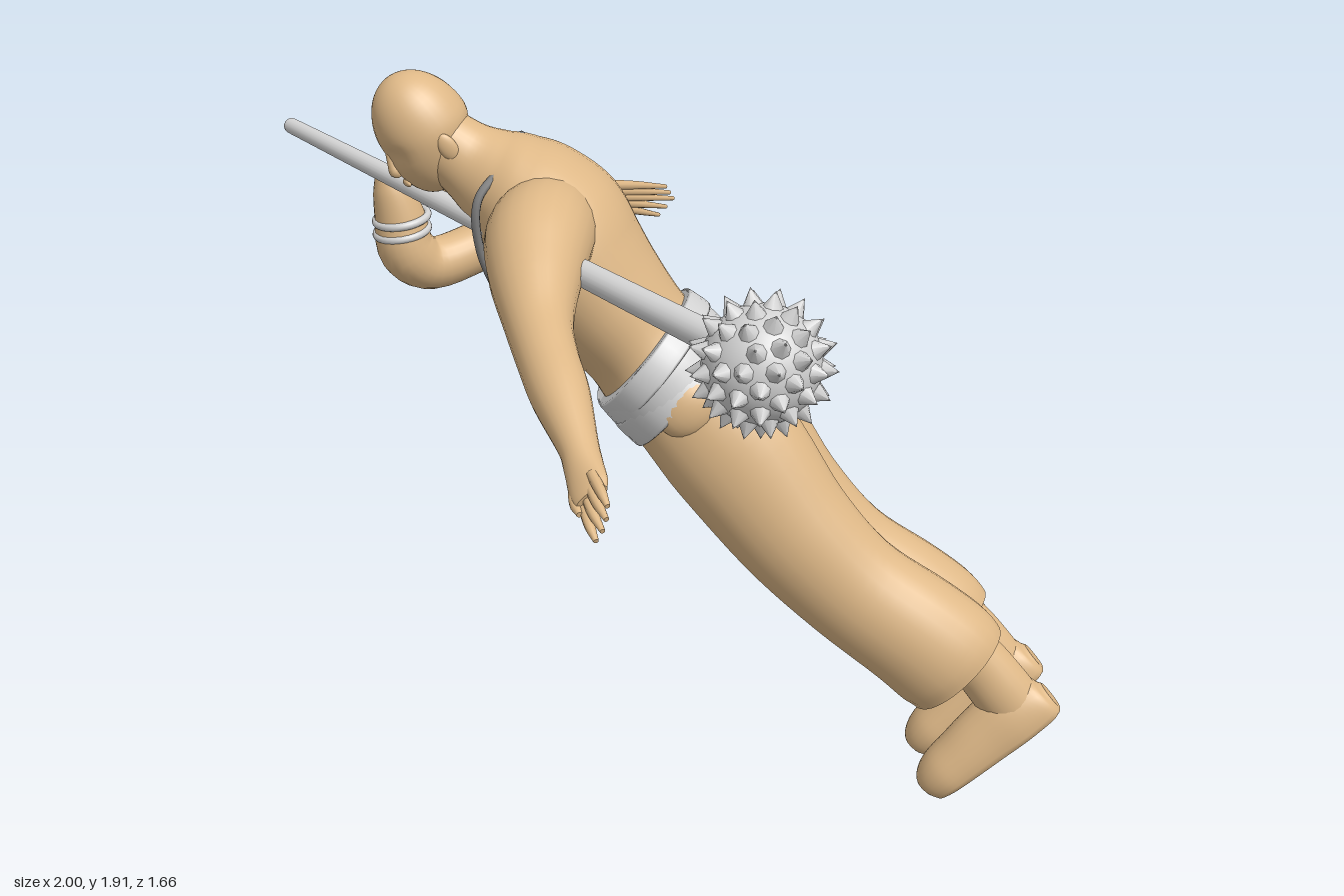
import * as THREE from 'three';

const V = (x, y, z) => new THREE.Vector3(x, y, z);
const mat = (name, color) => {
  const m = new THREE.MeshStandardMaterial({ color });
  m.name = name;
  return m;
};
const skin = mat('tan', 0xdeb887);
const metal = mat('light grey', 0xd3d3d3);
const cord = mat('dark grey', 0x808080);

// Leaning body axes: left, up and forward
const UP = V(-0.41, 0.77, 0.49).normalize();
const FWD = V(0.82, 0.08, 0.56).cross(UP).normalize();
const LEFT = UP.clone().cross(FWD);

function add(parent, name, geometry, material) {
  const mesh = new THREE.Mesh(geometry, material);
  mesh.name = name;
  parent.add(mesh);
  return mesh;
}

// Smooth closed skin over elliptical sections [x, y, z, sideRadius, otherRadius]
function loft(sections, side, steps = 5, seg = 24) {
  const centre = new THREE.CatmullRomCurve3(sections.map(s => V(s[0], s[1], s[2])), false, 'catmullrom', 0.5);
  const radii = new THREE.CatmullRomCurve3(sections.map(s => V(s[3], s[4] ?? s[3], 0)), false, 'catmullrom', 0.5);
  const n = (sections.length - 1) * steps, pos = [], idx = [];
  for (let i = 0; i <= n; i++) {
    const c = centre.getPoint(i / n), r = radii.getPoint(i / n), t = centre.getTangent(i / n);
    const a = side.clone().addScaledVector(t, -side.dot(t)).normalize();
    const b = t.clone().cross(a);
    for (let j = 0; j < seg; j++) {
      const q = j / seg * Math.PI * 2;
      const p = c.clone().addScaledVector(a, r.x * Math.cos(q)).addScaledVector(b, r.y * Math.sin(q));
      pos.push(p.x, p.y, p.z);
      const k = (j + 1) % seg, o = i * seg;
      if (i < n) idx.push(o + j, o + k, o + seg + k, o + j, o + seg + k, o + seg + j);
    }
  }
  // end caps with their own vertices
  for (const end of [0, n]) {
    const base = pos.length / 3;
    const c = centre.getPoint(end / n);
    pos.push(c.x, c.y, c.z);
    for (let j = 0; j < seg; j++) {
      const o = (end * seg + j) * 3;
      pos.push(pos[o], pos[o + 1], pos[o + 2]);
      const a = base + 1 + j, b = base + 1 + (j + 1) % seg;
      idx.push(base, end ? a : b, end ? b : a);
    }
  }
  const g = new THREE.BufferGeometry();
  g.setAttribute('position', new THREE.Float32BufferAttribute(pos, 3));
  g.setIndex(idx);
  g.computeVertexNormals();
  return g;
}

// Ellipsoid
function blob(parent, name, at, radii) {
  const m = add(parent, name, new THREE.SphereGeometry(1, 20, 14), skin);
  m.position.set(...at);
  m.scale.set(...radii);
  return m;
}

// Band around a limb
function band(parent, name, at, dir, radius, tube, width) {
  const m = add(parent, name, new THREE.TorusGeometry(radius, tube, 10, 36), metal);
  m.position.copy(at);
  m.quaternion.setFromUnitVectors(V(0, 0, 1), dir.clone().normalize());
  m.scale.z = width;
}

function buildBody() {
  const body = new THREE.Group();
  body.name = 'body';
  body.position.set(0.08, 1.15, 0.04);
  body.quaternion.setFromRotationMatrix(new THREE.Matrix4().makeBasis(LEFT, UP, FWD));
  const X = V(1, 0, 0);

  add(body, 'torso', loft([
    [0, -0.26, -0.02, 0.15, 0.13], [0, -0.13, -0.02, 0.225, 0.18], [0, 0, 0, 0.22, 0.17],
    [0, 0.12, 0, 0.2, 0.155], [0, 0.25, 0, 0.225, 0.168], [0, 0.38, -0.005, 0.252, 0.187],
    [0, 0.48, -0.02, 0.255, 0.19], [0, 0.56, -0.02, 0.23, 0.168], [0, 0.63, -0.005, 0.185, 0.14],
    [0, 0.69, 0.015, 0.13, 0.115], [0, 0.75, 0.033, 0.09, 0.095], [0, 0.82, 0.05, 0.08, 0.085]], X, 5, 36), skin);

  // Wrapped sash: crossing flat layers, lower at the front
  for (const [y, h, tilt, lean] of [[-0.015, 0.042, 0.09, 0.17], [0.035, 0.045, -0.07, 0.06], [0.065, 0.034, 0.06, 0.2]]) {
    const m = add(body, 'sash', loft([
      [0, -h, 0, 0.234, 0.181], [0, -h * 0.8, 0, 0.24, 0.188],
      [0, h * 0.8, 0, 0.235, 0.184], [0, h, 0, 0.226, 0.176]], X, 3, 40), metal);
    m.position.y = y;
    m.rotation.set(lean, 0, tilt);
  }

  for (const s of [1, -1]) {
    const side = s > 0 ? 'left' : 'right';
    blob(body, side + 'Hip', [s * 0.2, -0.045, -0.01], [0.045, 0.075, 0.085]);
    add(body, side + 'TrouserLeg', loft([
      [s * 0.095, -0.04, -0.005, 0.125, 0.16], [s * 0.108, -0.22, -0.015, 0.136, 0.18],
      [s * 0.118, -0.48, 0, 0.135, 0.16], [s * 0.122, -0.7, -0.015, 0.126, 0.147],
      [s * 0.127, -0.9, -0.063, 0.135, 0.154], [s * 0.127, -1.0, -0.082, 0.134, 0.158],
      [s * 0.125, -1.06, -0.088, 0.122, 0.15]], X), skin);
    add(body, side + 'Ankle', loft([
      [s * 0.125, -0.95, -0.11, 0.075, 0.085], [s * 0.125, -1.08, -0.135, 0.066, 0.078],
      [s * 0.125, -1.18, -0.135, 0.066, 0.08], [s * 0.125, -1.28, -0.13, 0.06, 0.08]], X), skin);
    // Foot from heel to toe, cut flat along the sole
    const foot = loft([
      [s * 0.127, -1.28, -0.225, 0.035, 0.04], [s * 0.127, -1.28, -0.2, 0.058, 0.08],
      [s * 0.127, -1.275, -0.12, 0.07, 0.11], [s * 0.128 - 0.004, -1.275, -0.03, 0.07, 0.1],
      [s * 0.128 - 0.01, -1.28, 0.06, 0.073, 0.085], [s * 0.128 - 0.015, -1.285, 0.125, 0.072, 0.075],
      [s * 0.128 - 0.018, -1.29, 0.17, 0.055, 0.055], [s * 0.128 - 0.02, -1.295, 0.188, 0.03, 0.025]], X);
    const p = foot.attributes.position;
    for (let i = 0; i < p.count; i++) p.setY(i, Math.max(p.getY(i), -1.318));
    foot.computeVertexNormals();
    add(body, side + 'Foot', foot, skin);
  }

  // Necklace resting on the shoulders and hanging over the chest
  const loop = new THREE.CatmullRomCurve3([
    [-0.02, 0.7, -0.105], [0.09, 0.685, -0.06], [0.15, 0.67, 0.05], [0.13, 0.57, 0.132], [0.07, 0.42, 0.183],
    [-0.02, 0.33, 0.19], [-0.11, 0.42, 0.175], [-0.165, 0.57, 0.115], [-0.16, 0.67, 0.03],
    [-0.11, 0.685, -0.06]].map(q => V(...q)), true);
  add(body, 'necklace', new THREE.TubeGeometry(loop, 90, 0.011, 8, true), cord);
  return body;
}

function buildHead() {
  const head = new THREE.Group();
  head.name = 'head';
  head.position.set(-0.312, 1.775, 0.5);
  // Bowed head, slightly tilted
  const up = V(-0.2, 0.85, 0.48).normalize();
  const fwd = V(0.97, 0.05, 0.22).cross(up).normalize();
  head.quaternion.setFromRotationMatrix(new THREE.Matrix4().makeBasis(up.clone().cross(fwd), up, fwd));
  const g = new THREE.SphereGeometry(1, 36, 28), p = g.attributes.position;
  // Narrow jaw, forward chin, shallow eye hollows
  for (let i = 0; i < p.count; i++) {
    const x = p.getX(i), y = p.getY(i), z = p.getZ(i), low = Math.max(0, -y - 0.05);
    const eye = z > 0 ? 0.1 * Math.exp(-((Math.abs(x) - 0.38) ** 2) * 14 - (y + 0.02) ** 2 * 50) : 0;
    p.setXYZ(i, x * 0.115 * (1 - 0.2 * low), y * 0.155, z * 0.117 * (1 - 0.1 * low) + low * 0.035 - eye * 0.117);
  }
  g.computeVertexNormals();
  add(head, 'skull', g, skin);
  add(head, 'nose', loft([[0, 0.01, 0.106, 0.008], [0, -0.025, 0.117, 0.012],
    [0, -0.045, 0.121, 0.015], [0, -0.058, 0.113, 0.008]], V(1, 0, 0), 3, 12), skin);
  blob(head, 'lips', [0, -0.085, 0.113], [0.026, 0.01, 0.008]);
  for (const s of [1, -1])
    blob(head, 'ear', [s * 0.11, -0.04, -0.005], [0.012, 0.038, 0.023]).rotation.y = -s * 0.3;
  return head;
}

function buildArms() {
  const arms = new THREE.Group();
  arms.name = 'arms';
  // Outstretched left arm and hand
  add(arms, 'leftArm', loft([
    [-0.12, 1.55, 0.25, 0.08], [-0.02, 1.572, 0.335, 0.122], [0.08, 1.57, 0.425, 0.13],
    [0.19, 1.525, 0.505, 0.11], [0.32, 1.465, 0.58, 0.08], [0.43, 1.425, 0.628, 0.071],
    [0.54, 1.383, 0.667, 0.067], [0.68, 1.325, 0.715, 0.046], [0.73, 1.302, 0.735, 0.04, 0.045],
    [0.79, 1.278, 0.762, 0.024, 0.05], [0.82, 1.268, 0.774, 0.016, 0.042]], UP), skin);
  for (let k = 0; k < 4; k++) {
    const d = k - 1.5;
    add(arms, 'leftFinger', loft([
      [0.79, 1.277 + d * 0.02, 0.765 - d * 0.008, 0.013], [0.85, 1.259 + d * 0.023, 0.786 - d * 0.01, 0.012],
      [0.908 - Math.abs(d) * 0.01, 1.242 + d * 0.024, 0.798 - d * 0.01, 0.006]], UP, 4, 10), skin);
  }
  add(arms, 'leftThumb', loft([[0.73, 1.28, 0.755, 0.016], [0.78, 1.247, 0.79, 0.014],
    [0.82, 1.237, 0.805, 0.007]], UP, 4, 10), skin);

  // Bent right arm
  add(arms, 'rightUpperArm', loft([
    [-0.18, 1.565, 0.27, 0.11], [-0.31, 1.55, 0.19, 0.136], [-0.44, 1.505, 0.068, 0.11],
    [-0.51, 1.465, -0.01, 0.1], [-0.55, 1.435, -0.06, 0.074], [-0.565, 1.42, -0.08, 0.025]], UP), skin);
  add(arms, 'rightForearm', loft([
    [-0.53, 1.43, -0.06, 0.05], [-0.555, 1.39, 0.03, 0.08], [-0.59, 1.34, 0.18, 0.068],
    [-0.612, 1.31, 0.32, 0.07], [-0.615, 1.36, 0.395, 0.075], [-0.62, 1.45, 0.41, 0.067],
    [-0.622, 1.53, 0.43, 0.05], [-0.625, 1.58, 0.445, 0.028]], V(1, 0, 0)), skin);
  band(arms, 'armBand', V(-0.44, 1.508, 0.067), V(-0.2, -0.06, -0.2), 0.113, 0.012, 2);
  for (const y of [1.415, 1.45]) band(arms, 'wristBand', V(-0.62, y, 0.405), V(0, 1, 0.15), 0.069, 0.01, 1.1);

  // Long trailing right hand
  for (let k = 0; k < 5; k++) {
    const d = k - 2;
    add(arms, 'rightFinger', loft([
      [-0.625, 1.56 + d * 0.006, 0.44, 0.02], [-0.665 + d * 0.006, 1.48 + d * 0.011, 0.2, 0.016],
      [-0.73 + d * 0.006, 1.39 + d * 0.016, -0.1, 0.014], [-0.79 + d * 0.006, 1.32 + d * 0.019, -0.4, 0.014],
      [-0.838 + d * 0.009, 1.262 + d * 0.024, -0.63 + Math.abs(d) * 0.02, 0.006]], UP, 6, 10), skin);
  }
  return arms;
}

function buildMace() {
  const mace = new THREE.Group();
  mace.name = 'mace';
  const centre = V(0.835, 1.478, 0.335), tip = V(-0.98, 1.636, 0.528);
  const rod = centre.clone().sub(tip);
  const handle = add(mace, 'handle', new THREE.CylinderGeometry(0.038, 0.021, rod.length(), 20), metal);
  handle.position.copy(tip).addScaledVector(rod, 0.5);
  handle.quaternion.setFromUnitVectors(V(0, 1, 0), rod.normalize());
  add(mace, 'handleEnd', new THREE.SphereGeometry(0.021, 16, 12), metal).position.copy(tip);
  add(mace, 'maceBall', new THREE.SphereGeometry(0.134, 32, 24), metal).position.copy(centre);
  // Rows of broad spikes around a tilted pole
  const spikes = new THREE.Group();
  spikes.name = 'spikes';
  spikes.position.copy(centre);
  spikes.quaternion.setFromUnitVectors(V(0, 1, 0), V(0.3, 0.48, 0.82).normalize());
  const cone = new THREE.ConeGeometry(0.025, 0.042, 8);
  for (let row = 1; row <= 7; row++) {
    const phi = row / 8 * Math.PI, count = Math.round(16 * Math.sin(phi));
    for (let j = 0; j < count; j++) {
      const dir = V().setFromSphericalCoords(1, phi, j / count * Math.PI * 2);
      const m = add(spikes, 'spike', cone, metal);
      m.position.copy(dir).multiplyScalar(0.149);
      m.quaternion.setFromUnitVectors(V(0, 1, 0), dir);
    }
  }
  mace.add(spikes);
  return mace;
}

export function createModel() {
  const model = new THREE.Group();
  model.name = 'leaningFighter';
  model.add(buildBody(), buildHead(), buildArms(), buildMace());
  return model;
}
